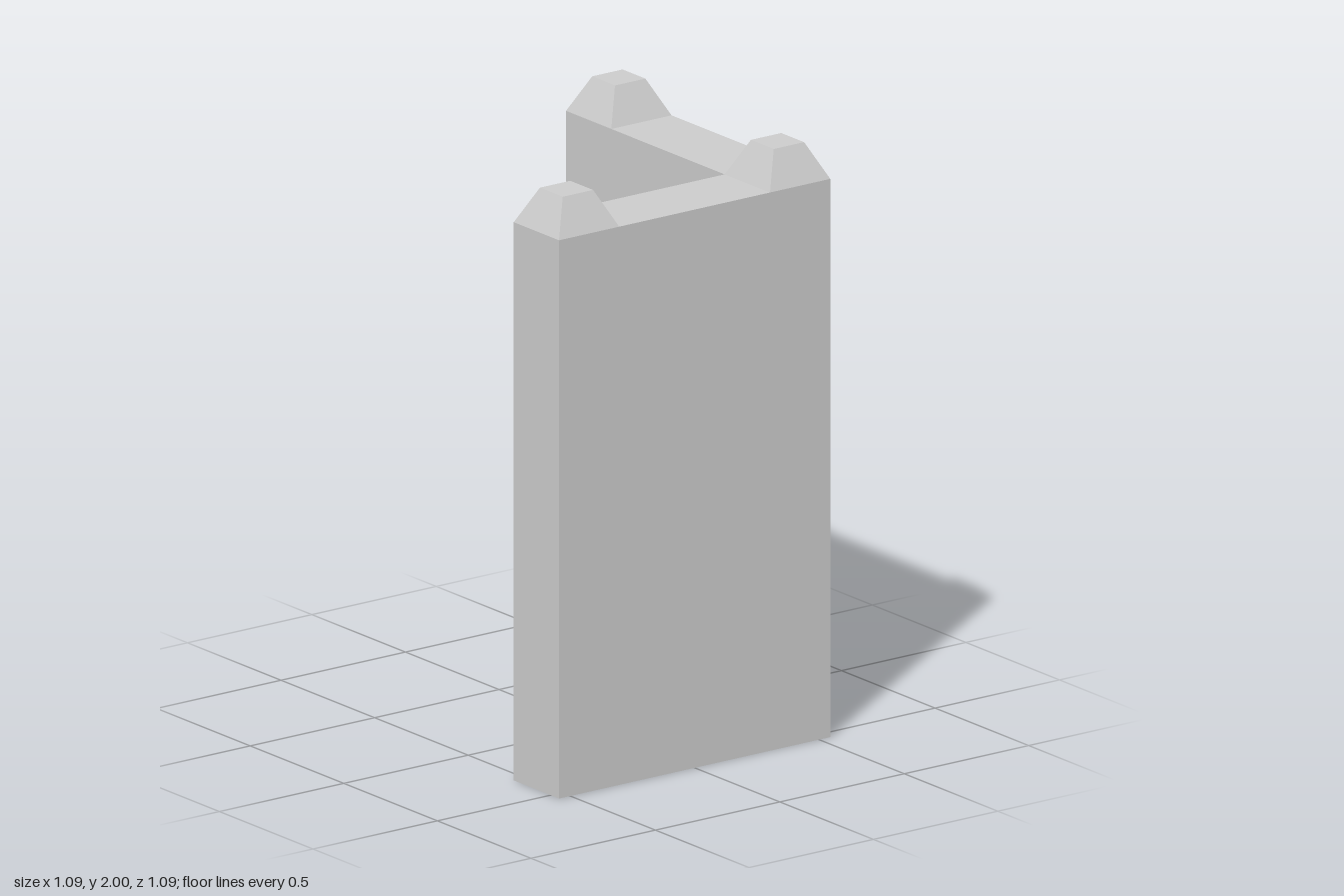
import * as THREE from 'three';

const OUT = 0.545, IN = 0.303;         // outer and inner faces of the L-shaped wall
const WALL_H = 1.88, CAP_H = 0.12;
const THICK = OUT - IN, MID = (OUT + IN) / 2, CAP_TOP = 0.122;

export function createModel() {
  const model = new THREE.Group();
  const material = new THREE.MeshStandardMaterial({
    color: 0xcccccc, flatShading: true, side: THREE.DoubleSide,
  });
  const add = (parent, name, geometry, x, y, z) => {
    const mesh = new THREE.Mesh(geometry, material);
    mesh.name = name;
    mesh.position.set(x, y, z);
    parent.add(mesh);
  };

  // Upright wall faces around the L outline; the shell is hollow and open below
  const walls = new THREE.Group();
  walls.name = 'walls';
  model.add(walls);
  const outline = [[-OUT, -OUT], [-OUT, -IN], [IN, -IN], [IN, OUT], [OUT, OUT], [OUT, -OUT]];
  outline.forEach(([x, z], i) => {
    const [x2, z2] = outline[(i + 1) % outline.length];
    const dx = x2 - x, dz = z2 - z;
    const face = new THREE.PlaneGeometry(Math.hypot(dx, dz), WALL_H).rotateY(Math.atan2(-dz, dx));
    add(walls, 'wallFace', face, (x + x2) / 2, WALL_H / 2, (z + z2) / 2);
  });

  // Flat wall tops between the caps
  const flat = (w, d) => new THREE.PlaneGeometry(w, d).rotateX(-Math.PI / 2);
  add(model, 'backWallTop', flat(2 * IN, THICK), 0, WALL_H, -MID);
  add(model, 'sideWallTop', flat(THICK, 2 * IN), MID, WALL_H, 0);

  // Truncated pyramid caps at the corner and both ends
  const caps = { rightEndCap: [-MID, -MID], cornerCap: [MID, -MID], frontEndCap: [MID, MID] };
  for (const [name, [x, z]] of Object.entries(caps)) {
    const cap = new THREE.Group();
    cap.name = name;
    cap.position.set(x, WALL_H, z);
    const slopes = new THREE.CylinderGeometry(
      CAP_TOP * Math.SQRT1_2, THICK * Math.SQRT1_2, CAP_H, 4, 1, true).rotateY(Math.PI / 4);
    add(cap, 'capSlopes', slopes, 0, CAP_H / 2, 0);
    add(cap, 'capTop', flat(CAP_TOP, CAP_TOP), 0, CAP_H, 0);
    model.add(cap);
  }
  return model;
}
